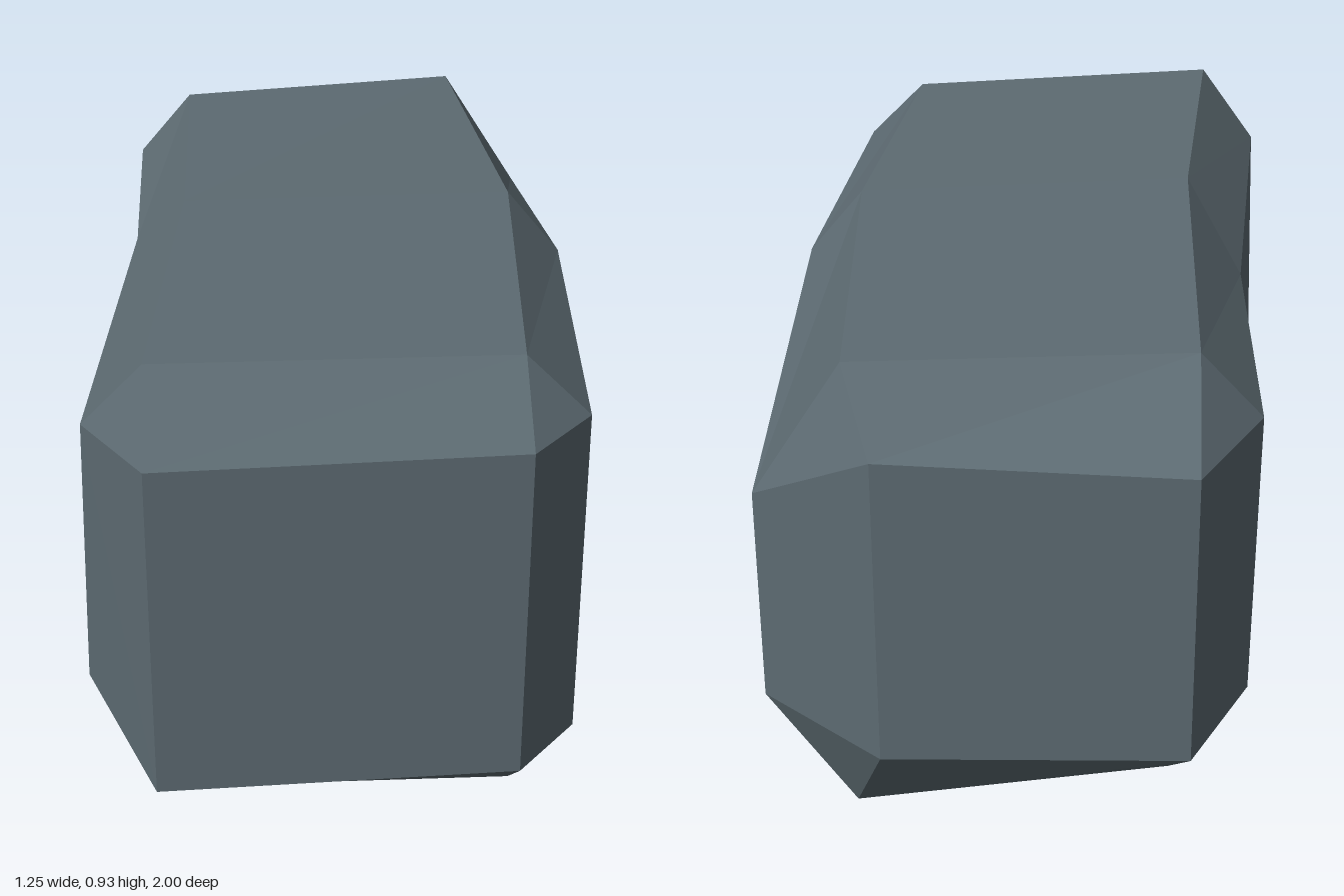
import * as THREE from 'three';

// Eight-sided cross-sections from front to back, each starting at the upper left
// and going over the top, right side, underside and left side.
const frontCap = [[-0.06, 0.80, 0.995], [0.555, 0.785, 0.73], [0.555, 0.12, 0.73], [-0.06, 0.145, 0.995]];
const backCap = [[-0.585, 0.765, -0.83], [-0.06, 0.785, -1], [-0.06, 0.19, -1], [-0.585, 0.20, -0.83]];
const front = [
  [-0.105, 0.93, 0.855], [0.51, 0.905, 0.595], [0.625, 0.785, 0.56], [0.625, 0.12, 0.56],
  [0.51, 0, 0.595], [-0.12, 0, 0.80], [-0.26, 0.235, 0.80], [-0.235, 0.785, 0.83],
];
const middle = [
  [-0.28, 0.93, 0.12], [0.335, 0.915, -0.14], [0.44, 0.785, -0.17], [0.44, 0.12, -0.17],
  [0.335, 0, -0.14], [-0.31, 0, 0.10], [-0.44, 0.235, 0], [-0.43, 0.785, 0],
];
const back = [
  [-0.52, 0.895, -0.62], [0.04, 0.905, -0.885], [0.20, 0.645, -0.93], [0.20, 0.225, -0.93],
  [0.04, 0, -0.89], [-0.485, 0.02, -0.62], [-0.62, 0.20, -0.57], [-0.625, 0.765, -0.57],
];

// Repeats the corners of an end face so that it joins an eight-sided section.
const asRing = ([tl, tr, br, bl]) => [tl, tr, tr, br, br, bl, bl, tl];

function loftGeometry() {
  const positions = [];
  const triangle = (a, b, c) => {
    if (a !== b && b !== c && c !== a) positions.push(...a, ...b, ...c);
  };
  const quad = (a, b, c, d) => {
    triangle(a, b, c);
    triangle(a, c, d);
  };

  // Sides, chamfers and corner triangles
  const rings = [asRing(frontCap), front, middle, back, asRing(backCap)];
  for (let k = 0; k < rings.length - 1; k++) {
    for (let j = 0; j < 8; j++) {
      const n = (j + 1) % 8;
      quad(rings[k][j], rings[k][n], rings[k + 1][n], rings[k + 1][j]);
    }
  }

  // End faces
  quad(...[...frontCap].reverse());
  quad(...backCap);

  const geometry = new THREE.BufferGeometry();
  geometry.setAttribute('position', new THREE.Float32BufferAttribute(positions, 3));
  geometry.computeVertexNormals();
  return geometry;
}

export function createModel() {
  const group = new THREE.Group();
  group.name = 'rock';

  const stone = new THREE.MeshStandardMaterial({ color: 0x5d6b72, flatShading: true });
  stone.name = 'slate grey';

  const boulder = new THREE.Mesh(loftGeometry(), stone);
  boulder.name = 'boulder';
  group.add(boulder);
  return group;
}
